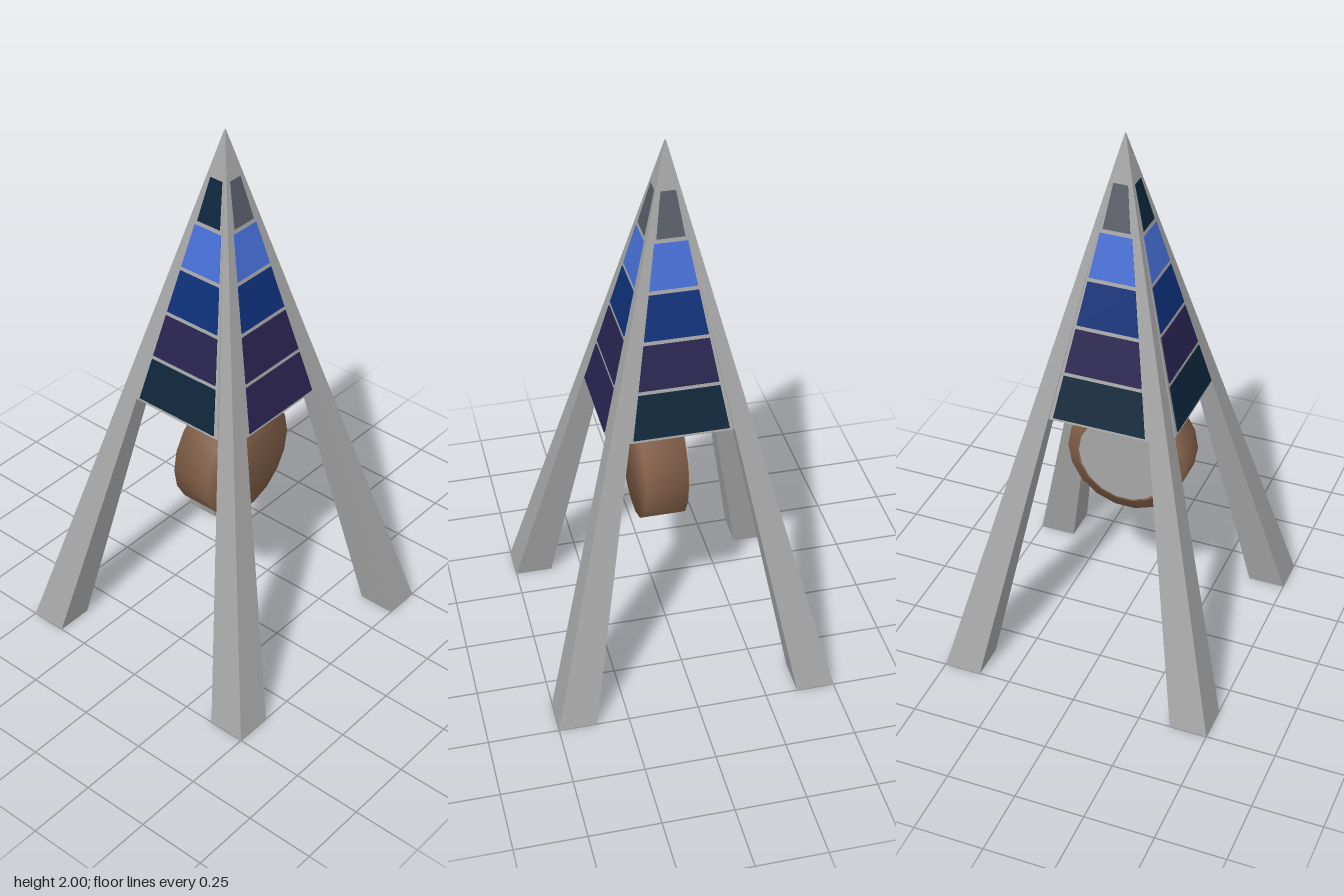
import * as THREE from 'three';
import { mergeVertices } from 'three/addons/utils/BufferGeometryUtils.js';

const material = (name, color) => {
  const m = new THREE.MeshStandardMaterial({ color });
  m.name = name;
  return m;
};

// Block whose plan (given at ground level) shrinks steadily towards the apex at y = 2
function taperedBlock(x0, x1, z0, z1, y0, y1) {
  const geometry = new THREE.BoxGeometry(1, 1, 1);
  const p = geometry.attributes.position;
  for (let i = 0; i < p.count; i++) {
    const y = p.getY(i) > 0 ? y1 : y0;
    const s = 1 - y / 2;
    p.setXYZ(i, (p.getX(i) > 0 ? x1 : x0) * s, y, (p.getZ(i) > 0 ? z1 : z0) * s);
  }
  geometry.computeVertexNormals();
  return geometry;
}

export function createModel() {
  const model = new THREE.Group();
  model.name = 'tower';
  const grey = material('stone grey', 0xa6a6a6);
  const brown = material('brown', 0x85624a);
  const teal = material('dark teal', 0x0d263b);
  const purple = material('dark purple', 0x292350);
  const navy = material('navy blue', 0x0d3079);
  const blue = material('bright blue', 0x466fd6);
  const slate = material('slate', 0x565c66);

  const add = (name, geometry, mat, parent = model) => {
    const mesh = new THREE.Mesh(geometry, mat);
    mesh.name = name;
    parent.add(mesh);
    return mesh;
  };

  // Four legs that meet at the apex
  for (let i = 0; i < 4; i++) {
    add('leg', taperedBlock(0.365, 0.5, 0.365, 0.5, 0, 1.999), grey).rotation.y = i * Math.PI / 2;
  }

  // Spire body: two crossing slabs between the legs
  add('spireBody', taperedBlock(-0.37, 0.37, -0.48, 0.508, 1, 1.99), grey);
  add('spireBody', taperedBlock(-0.49, 0.5, -0.37, 0.37, 1, 1.99), grey);

  // Coloured panels, bottom to top, on each face of the spire
  const faces = [
    { name: 'frontPanels', turn: 0, depth: 0.508, bottom: teal, top: teal },
    { name: 'leftPanels', turn: 1, depth: 0.5, bottom: purple, top: slate },
    { name: 'backPanels', turn: 2, depth: 0.48, bottom: teal, top: slate },
    { name: 'rightPanels', turn: 3, depth: 0.49, bottom: teal, top: slate },
  ];
  for (const { name, turn, depth, bottom, top } of faces) {
    const group = new THREE.Group();
    group.name = name;
    group.rotation.y = turn * Math.PI / 2;
    [bottom, purple, navy, blue, top].forEach((mat, i) => {
      const y = 1.01 + i * 0.167;
      const half = i === 4 ? 0.3 : 0.335;
      add('panel', taperedBlock(-half, half, depth - 0.004, depth + 0.008, y, y + 0.153), mat, group);
    });
    model.add(group);
  }

  // Hanging round bell with soft shading, its axis along x
  let disc = new THREE.CylinderGeometry(0.217, 0.217, 0.15, 18);
  disc.rotateZ(Math.PI / 2);
  disc.deleteAttribute('normal');
  disc.deleteAttribute('uv');
  disc = mergeVertices(disc);
  disc.computeVertexNormals();
  add('disc', disc, brown).position.set(0.04, 0.75, 0.013);

  const rim = add('faceRim', new THREE.CylinderGeometry(0.18, 0.18, 0.012, 18), brown);
  rim.rotation.z = Math.PI / 2;
  rim.position.set(-0.039, 0.75, 0.013);
  const face = add('facePlate', new THREE.CylinderGeometry(0.17, 0.17, 0.008, 18), grey);
  face.rotation.z = Math.PI / 2;
  face.position.set(-0.046, 0.75, 0.013);

  add('hanger', new THREE.BoxGeometry(0.1, 0.07, 0.035), brown).position.set(0.04, 0.98, 0.015);
  return model;
}
